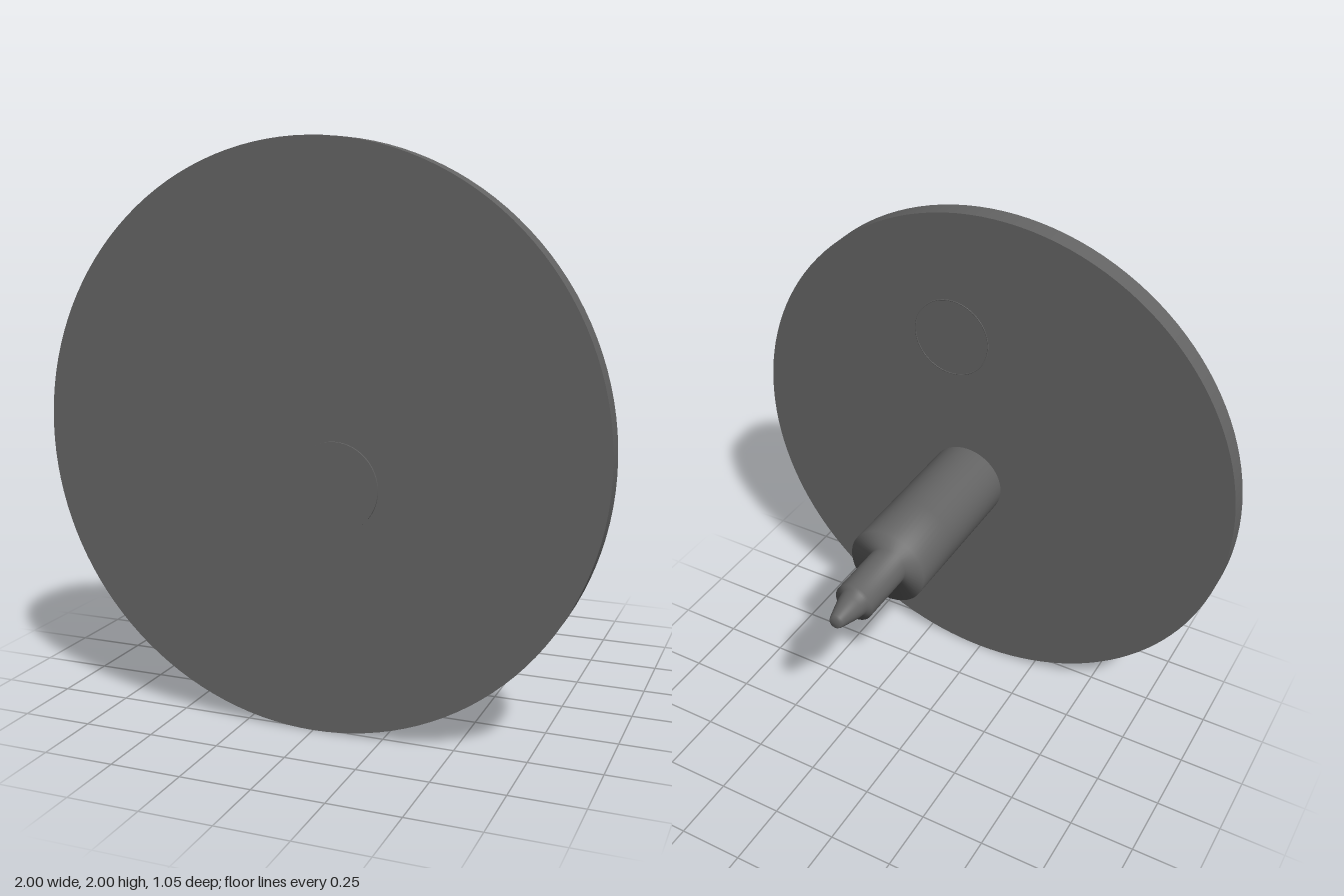
import * as THREE from 'three';

export function createModel() {
  const model = new THREE.Group();
  const material = new THREE.MeshStandardMaterial({ color: 0x646464 });

  // Every part is round and is turned to lie along z
  const add = (name, geometry, x, y, z) => {
    const mesh = new THREE.Mesh(geometry, material);
    mesh.name = name;
    mesh.position.set(x, y, z);
    model.add(mesh);
  };

  // Large thin wheel
  add('wheelDisc', new THREE.CylinderGeometry(1, 1, 0.075, 128).rotateX(Math.PI / 2), 0, 1, 0.4775);

  // Fine circular seam on the back of the wheel, sunk almost flush
  add('backSeam', new THREE.TorusGeometry(0.153, 0.003, 8, 64), 0.16, 1.49, 0.442);

  // Off-centre stepped shaft with a tapered tip, smooth over its shoulders.
  // Points are [radius, z] from back to front; the doubled point keeps the front rim sharp.
  const profile = [
    [0, -0.525], [0.022, -0.525], [0.028, -0.515], [0.042, -0.465], [0.051, -0.43], [0.055, -0.4],
    [0.076, -0.4], [0.076, -0.17], [0.153, -0.17], [0.153, 0.04],
    [0.153, 0.521], [0.153, 0.521], [0, 0.521],
  ].map(([r, z]) => new THREE.Vector2(r, z));
  add('shaft', new THREE.LatheGeometry(profile, 48).rotateX(Math.PI / 2), 0.085, 0.862, 0);

  return model;
}
